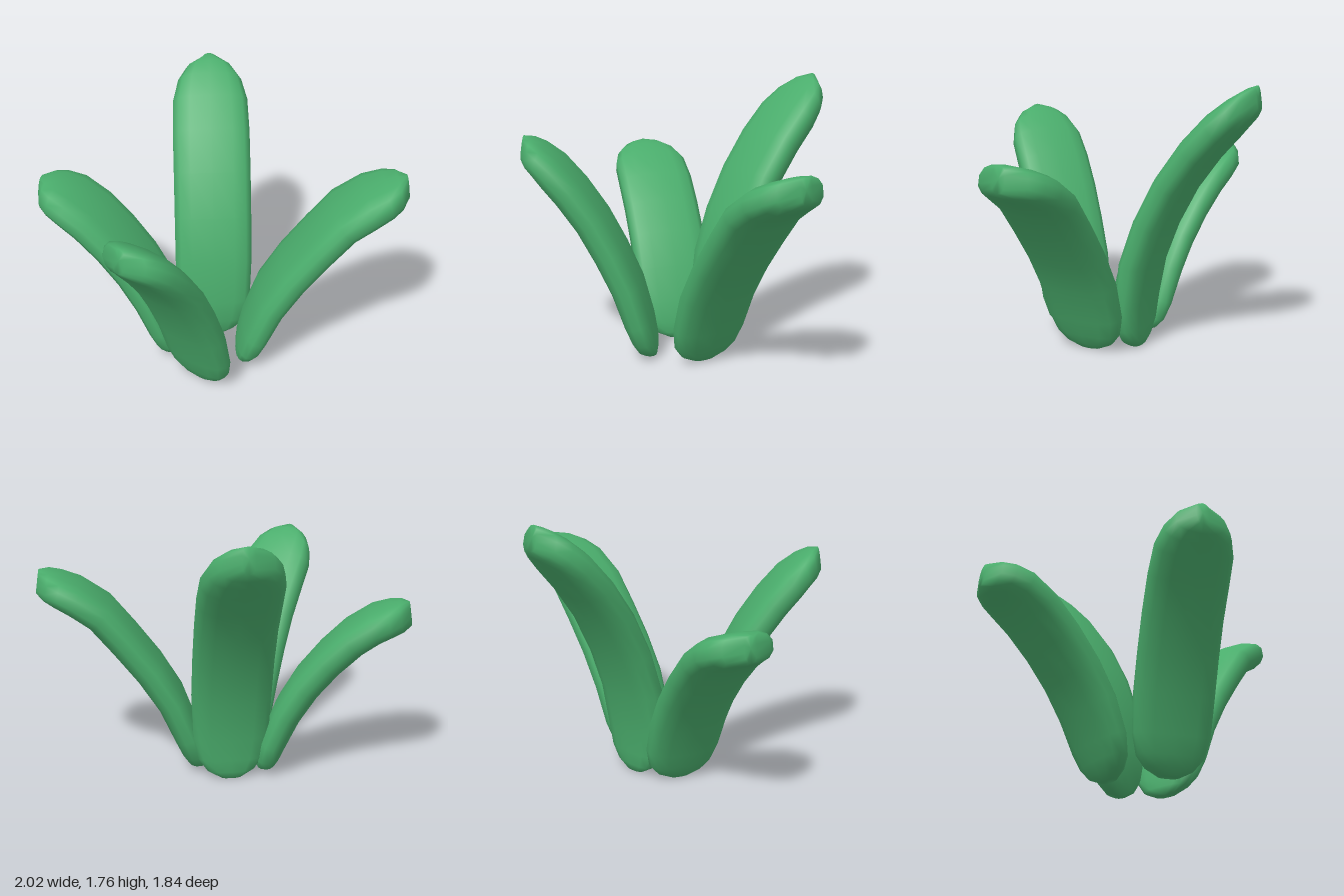
import * as THREE from 'three';

const SIDES = 14;
// Stations along a leaf: [fraction of length, width factor, inner half thickness, outer half thickness]
const STATIONS = [
  [0, 0.28, 0.045, 0.045], [0.025, 0.6, 0.062, 0.065], [0.07, 0.83, 0.075, 0.085], [0.15, 0.96, 0.083, 0.1],
  [0.3, 1, 0.088, 0.113], [0.45, 1, 0.09, 0.12], [0.6, 1, 0.092, 0.122], [0.74, 1, 0.098, 0.12],
  [0.85, 0.97, 0.105, 0.115], [0.92, 0.83, 0.103, 0.106], [0.965, 0.61, 0.094, 0.1], [1, 0.16, 0.072, 0.088],
];

// Thick rounded slab, fuller on its outer side, that follows a bent centre line in the local xy plane
function leafGeometry(profile, halfWidth) {
  const curve = new THREE.CatmullRomCurve3(profile.map(([u, y]) => new THREE.Vector3(u, y, 0)));
  const pos = [], index = [];
  const soft = (v, e) => Math.sign(v) * Math.pow(Math.abs(v), e);

  for (const [f, w, inner, outer] of STATIONS) {
    const c = curve.getPointAt(f);
    const t = curve.getTangentAt(f);
    const n = new THREE.Vector3(-t.y, t.x, 0);
    // the base is cut level, the tip is cut nearly upright
    if (f < 0.15) n.lerp(new THREE.Vector3(-1, 0, 0), 1 - f / 0.15).normalize();
    if (f > 0.8) n.lerp(new THREE.Vector3(-0.15, 1, 0), (f - 0.8) / 0.2).normalize();
    for (let j = 0; j < SIDES; j++) {
      const a = (j / SIDES) * Math.PI * 2;
      const h = soft(Math.cos(a), 0.8) * (Math.cos(a) > 0 ? inner : outer);
      pos.push(c.x + n.x * h, c.y + n.y * h, halfWidth * w * soft(Math.sin(a), 0.72));
    }
  }

  // skin
  const rings = STATIONS.length;
  for (let i = 0; i < rings - 1; i++) {
    for (let j = 0; j < SIDES; j++) {
      const a = i * SIDES + j, b = i * SIDES + (j + 1) % SIDES;
      index.push(a, b, a + SIDES, b, b + SIDES, a + SIDES);
    }
  }

  // end caps
  const start = curve.getPointAt(0), end = curve.getPointAt(1);
  const s = pos.length / 3, last = (rings - 1) * SIDES;
  pos.push(start.x, start.y, 0, end.x, end.y, 0);
  for (let j = 0; j < SIDES; j++) {
    const k = (j + 1) % SIDES;
    index.push(s, k, j, s + 1, last + j, last + k);
  }

  const g = new THREE.BufferGeometry();
  g.setAttribute('position', new THREE.Float32BufferAttribute(pos, 3));
  g.setIndex(index);
  g.computeVertexNormals();
  return g;
}

// dir: heading [x, z]; side: sideways offset; profile: [distance out, height]
const LEAVES = [
  { name: 'frontLeftLeaf', dir: [0.813, 0.582], side: 0.1, half: 0.275,
    profile: [[0.23, 0], [0.29, 0.2], [0.38, 0.45], [0.52, 0.69], [0.67, 0.89], [0.89, 1.14], [1.25, 1.32]] },
  { name: 'backLeftLeaf', dir: [0.565, -0.825], side: 0.04, half: 0.262,
    profile: [[0.14, 0], [0.13, 0.25], [0.155, 0.5], [0.24, 0.78], [0.36, 1.04], [0.51, 1.27], [0.72, 1.5], [0.945, 1.69]] },
  { name: 'frontRightLeaf', dir: [-0.955, 0.297], side: -0.17, half: 0.255,
    profile: [[0.29, 0], [0.34, 0.2], [0.43, 0.5], [0.57, 0.79], [0.69, 0.99], [0.91, 1.24], [1.09, 1.375]] },
  { name: 'backRightLeaf', dir: [-0.613, -0.79], side: -0.062, half: 0.262,
    profile: [[0.21, 0], [0.26, 0.2], [0.36, 0.45], [0.51, 0.69], [0.66, 0.86], [0.86, 1.03], [1.13, 1.135]] },
];

export function createModel() {
  const model = new THREE.Group();
  model.name = 'plant';
  const green = new THREE.MeshStandardMaterial({ color: 0x4aad6c });
  green.name = 'leafGreen';

  for (const { name, dir: [dx, dz], side, half, profile } of LEAVES) {
    const leaf = new THREE.Mesh(leafGeometry(profile, half), green);
    leaf.name = name;
    leaf.rotation.y = Math.atan2(-dz, dx);
    leaf.position.set(-dz * side, 0, dx * side);
    model.add(leaf);
  }
  return model;
}
